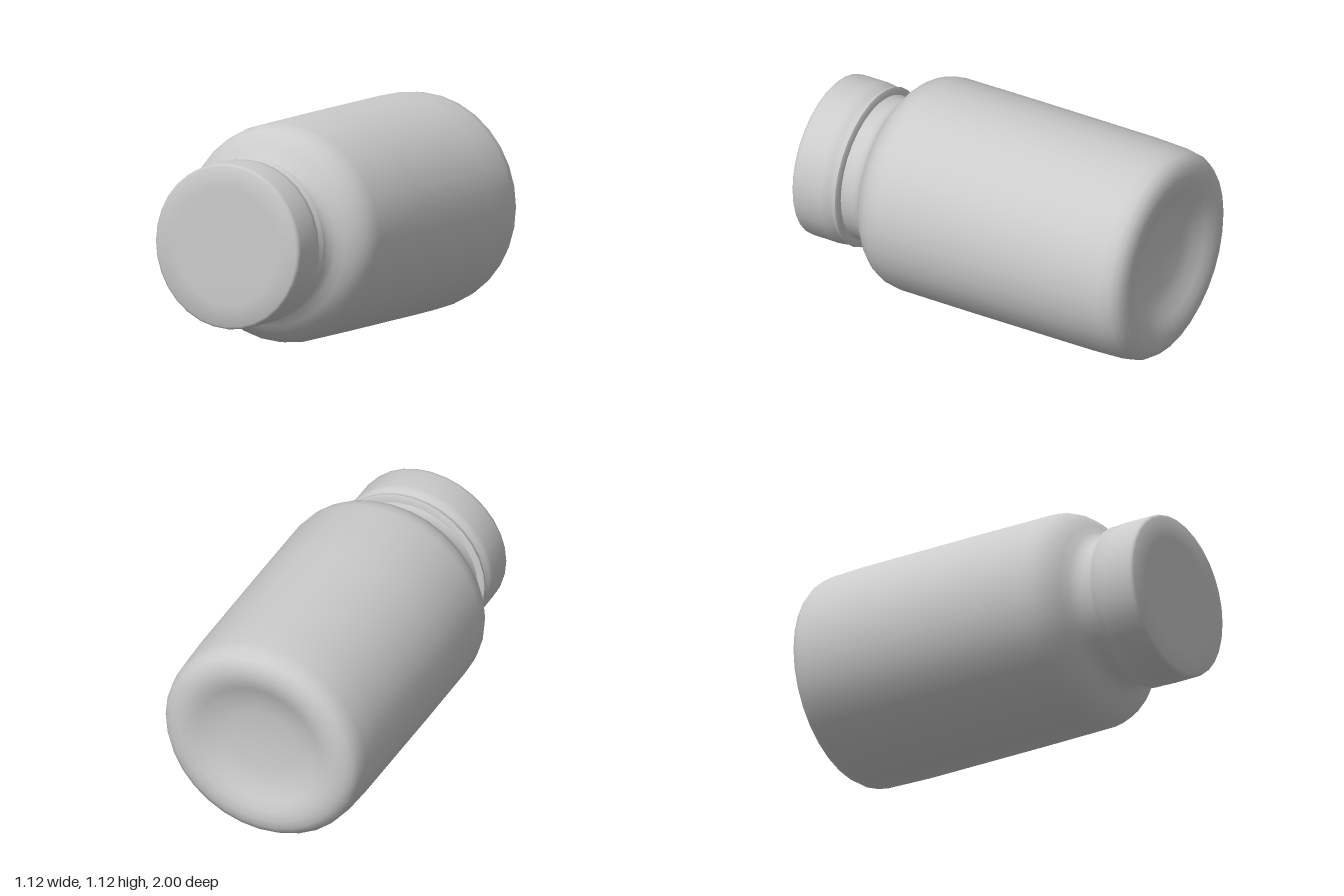
import * as THREE from 'three';
import { toCreasedNormals } from 'three/addons/utils/BufferGeometryUtils.js';

const SIDES = 32;
const AXIS_HEIGHT = 0.56;

// Turn a [radius, z] profile around the z axis
function turned(name, profile, material) {
  const points = profile.map(([r, z]) => new THREE.Vector2(r, z));
  const geometry = new THREE.LatheGeometry(points, SIDES);
  geometry.rotateX(Math.PI / 2);
  const mesh = new THREE.Mesh(toCreasedNormals(geometry, 0.9), material);
  mesh.name = name;
  mesh.position.y = AXIS_HEIGHT;
  return mesh;
}

export function createModel() {
  const group = new THREE.Group();
  group.name = 'bottle';
  const material = new THREE.MeshStandardMaterial({ color: 0xcccccc });

  // Bottle: dished base, straight wall, rounded shoulder and waisted neck
  const body = turned('bottleBody', [
    [0, -0.925], [0.18, -0.93], [0.27, -0.945], [0.34, -0.975], [0.39, -0.994],
    [0.44, -1], [0.485, -0.992], [0.52, -0.973], [0.543, -0.94], [0.553, -0.88],
    [0.559, -0.7], [0.56, 0], [0.558, 0.42], [0.55, 0.47], [0.53, 0.515],
    [0.497, 0.555], [0.455, 0.588], [0.415, 0.612], [0.388, 0.64],
    [0.378, 0.67], [0.374, 0.71], [0.379, 0.735], [0.385, 0.755]
  ], material);

  // Cap: closed disc with a thin tamper ring behind a narrow groove
  const cap = turned('cap', [
    [0.365, 0.735], [0.405, 0.735], [0.42, 0.742], [0.419, 0.754], [0.405, 0.768],
    [0.406, 0.778], [0.42, 0.795], [0.423, 0.83], [0.422, 0.975],
    [0.419, 0.99], [0.408, 0.998], [0.3, 1], [0, 1]
  ], material);
  cap.position.x = 0.005;

  group.add(body, cap);
  return group;
}
